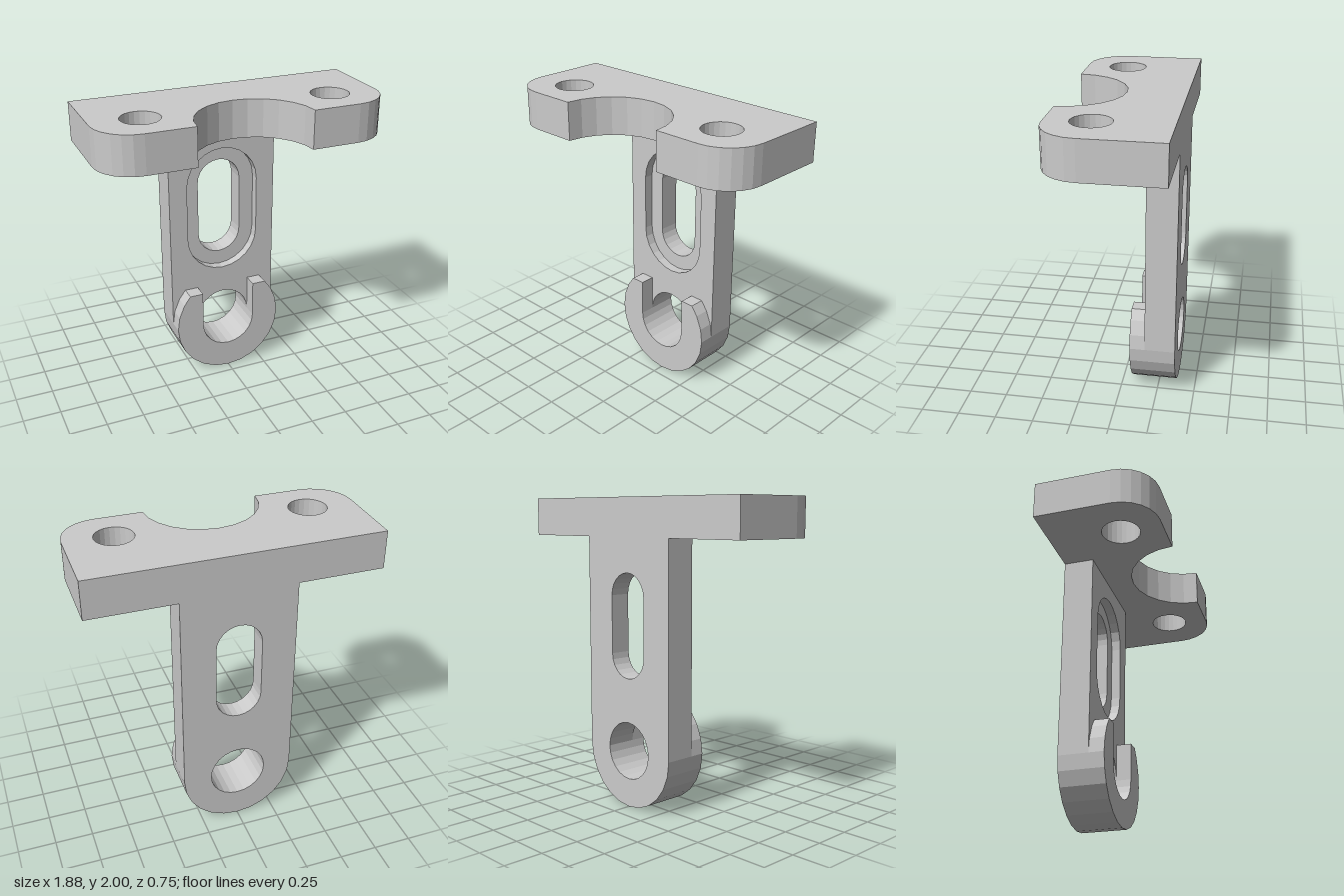
import * as THREE from 'three';

const PI = Math.PI;
const material = new THREE.MeshStandardMaterial({ color: 0xcccccc, flatShading: true });

// Points of an arc in 15 degree steps
function arc(cx, cy, r, from, to) {
  const n = Math.max(1, Math.round(Math.abs(to - from) / (PI / 12)));
  return Array.from({ length: n + 1 }, (_, i) => {
    const a = from + ((to - from) * i) / n;
    return new THREE.Vector2(cx + r * Math.cos(a), cy + r * Math.sin(a));
  });
}

const pt = (x, y) => new THREE.Vector2(x, y);
const circle = (cx, cy, r) => arc(cx, cy, r, 0, 2 * PI).slice(0, -1);
const slot = (r) => [...arc(0, 1.0, r, PI, 2 * PI), ...arc(0, 1.378, r, 0, PI)];

// Flat slab from an outline with holes, spanning z0 to z1
function slab(outline, holes, z0, z1) {
  const shape = new THREE.Shape(outline);
  shape.holes = holes.map((h) => new THREE.Path(h));
  const geometry = new THREE.ExtrudeGeometry(shape, { depth: z1 - z0, bevelEnabled: false });
  return geometry.translate(0, 0, z0);
}

export function createModel() {
  const group = new THREE.Group();
  const add = (name, geometry) => {
    const mesh = new THREE.Mesh(geometry, material);
    mesh.name = name;
    group.add(mesh);
  };

  const back = -0.375, recess = -0.2375, face = -0.175, bossFace = -0.075;
  const cy = 0.375, R = 0.375, r = 0.1875;

  // Upright plate in two layers: narrow slot behind, wider recess in front
  const plate = [...arc(0, cy, R, PI, 2 * PI), pt(R, 1.75), pt(-R, 1.75)];
  add('plateBack', slab(plate, [circle(0, cy, r), slot(0.15)], back, recess));
  add('plateFront', slab(plate, [circle(0, cy, r), slot(0.25)], recess, face));

  // Open-topped boss around the lower hole
  const boss = [
    pt(-0.28, 0.625), ...arc(0, cy, R, (5 * PI) / 6, (13 * PI) / 6), pt(0.28, 0.625),
    pt(r, 0.625), ...arc(0, cy, r, 0, -PI), pt(-r, 0.625),
  ];
  add('openBoss', slab(boss, [], face, bossFace));

  // Top flange, drawn in plan (shape y is -z), with a half-round notch in front
  const W = 0.9375, c = 0.25;
  const flange = [
    pt(W, 0.375), pt(-W, 0.375),
    ...arc(-W + c, -0.375 + c, c, PI, 1.5 * PI),
    ...arc(0, -0.375, R, PI, 0),
    ...arc(W - c, -0.375 + c, c, 1.5 * PI, 2 * PI),
  ];
  const boltHoles = [-0.625, 0.625].map((x) => circle(x, -0.1, 0.125));
  add('topFlange', slab(flange, boltHoles, 1.75, 2).rotateX(-PI / 2));

  return group;
}
